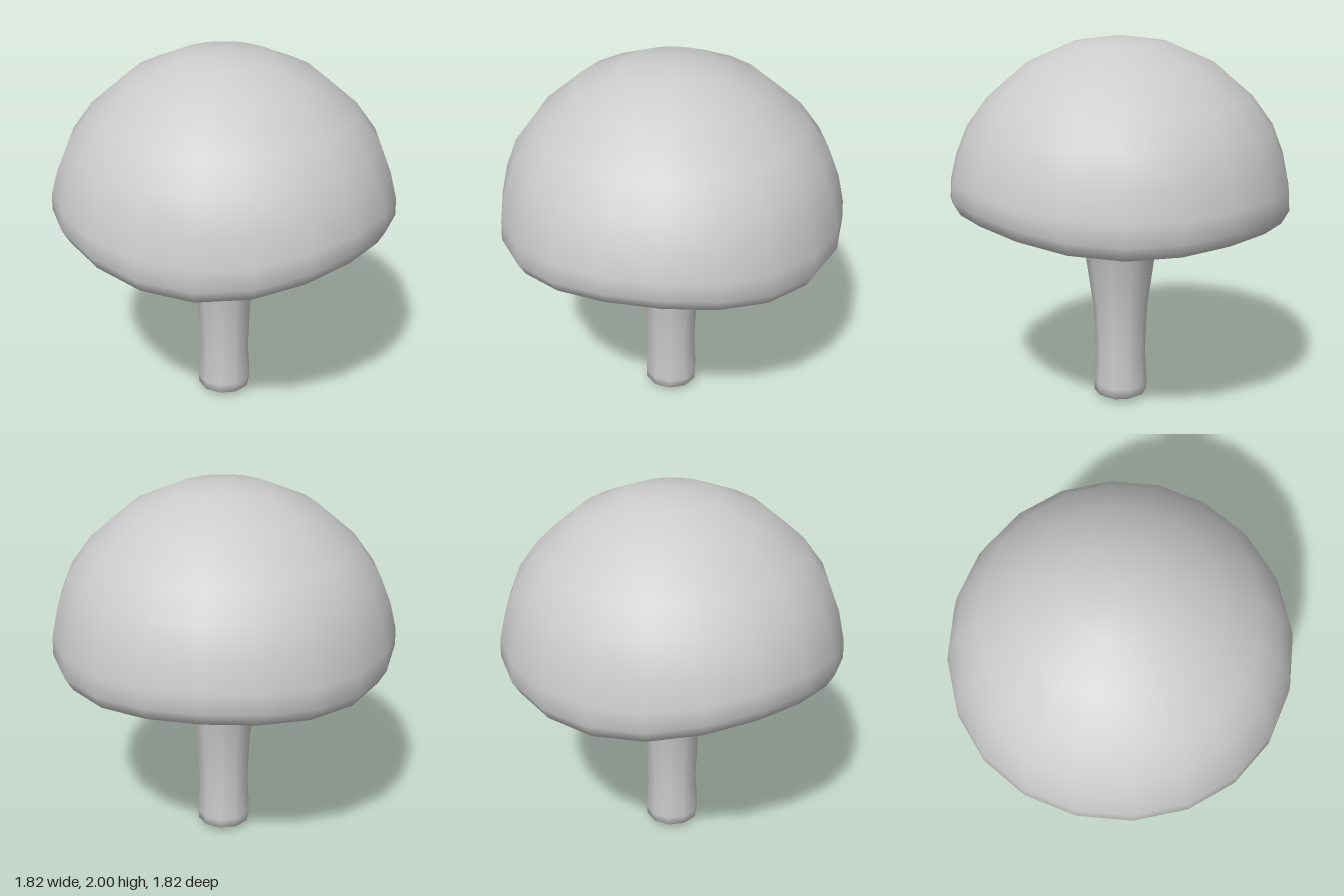
import * as THREE from 'three';
import { mergeVertices } from 'three/addons/utils/BufferGeometryUtils.js';

const material = new THREE.MeshStandardMaterial({ color: 0xcccccc });

// Smooth lathed part; an optional rule moves each vertex
function lathePart(name, profile, sides, rule) {
  const points = profile.map(([r, y]) => new THREE.Vector2(r, y));
  let geometry = new THREE.LatheGeometry(points, sides);
  if (rule) {
    const p = geometry.attributes.position;
    for (let i = 0; i < p.count; i++) {
      p.setY(i, p.getY(i) + rule(p.getX(i), p.getY(i), p.getZ(i)));
    }
  }
  // weld the seam so that the shading stays smooth
  geometry.deleteAttribute('uv');
  geometry.deleteAttribute('normal');
  geometry = mergeVertices(geometry, 1e-4);
  geometry.computeVertexNormals();
  const mesh = new THREE.Mesh(geometry, material);
  mesh.name = name;
  return mesh;
}

// Gentle wave of the cap's rim, fading out towards the crown and the centre
function rimWave(x, y, z) {
  const a = Math.atan2(x, z);
  const wave = 0.013 * Math.cos(a) - 0.02 * Math.cos(2 * a) - 0.033 * Math.cos(3 * a);
  const fade = 1 - THREE.MathUtils.smoothstep(y, 1.12, 1.5);
  return wave * fade * THREE.MathUtils.smoothstep(Math.hypot(x, z), 0.4, 0.8);
}

export function createModel() {
  const group = new THREE.Group();
  group.name = 'mushroom';

  // Cap: hollow underside, rolled rim, domed crown
  group.add(lathePart('cap', [
    [0, 1.27], [0.3, 1.26], [0.45, 1.24], [0.62, 1.19], [0.76, 1.11],
    [0.82, 1.07], [0.87, 1.06], [0.91, 1.13], [0.905, 1.23], [0.87, 1.38],
    [0.81, 1.53], [0.7, 1.68], [0.49, 1.86], [0.25, 1.965], [0, 2],
  ], 20, rimWave));

  // Stem: rounded foot, slim shaft, flared top meeting the underside
  group.add(lathePart('stem', [
    [0, 0], [0.1, 0.005], [0.145, 0.03], [0.147, 0.08], [0.137, 0.26],
    [0.148, 0.52], [0.19, 0.82], [0.255, 1.03], [0.32, 1.15], [0.44, 1.25],
  ], 10));

  return group;
}
